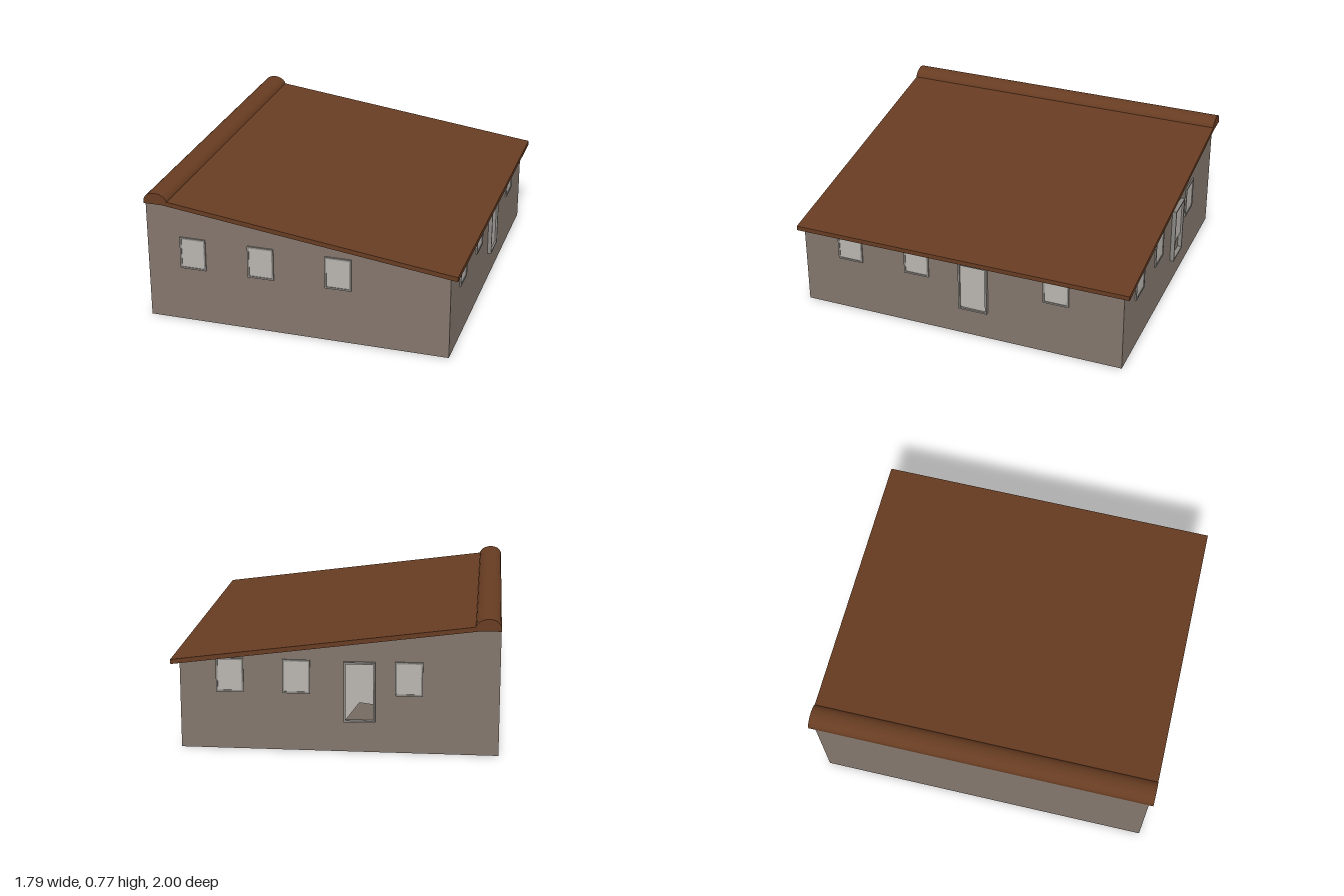
import * as THREE from 'three';

export function createModel() {
  const wallMat = new THREE.MeshStandardMaterial({ name: 'wall taupe', color: 0x83766c, side: THREE.DoubleSide });
  const roofMat = new THREE.MeshStandardMaterial({ name: 'roof brown', color: 0x673c22 });
  const frameMat = new THREE.MeshStandardMaterial({ name: 'frame grey', color: 0x8a8883 });
  const glassMat = new THREE.MeshStandardMaterial({ name: 'pale glass', color: 0xb9b5b0, side: THREE.DoubleSide });

  const house = new THREE.Group();
  house.name = 'house';
  const L = -0.885, R = 0.8425, F = 0.965, B = -0.95;
  const shape = (pts) => new THREE.Shape(pts.map(([x, y]) => new THREE.Vector2(x, y)));
  const add = (parent, name, geo, mat, x = 0, y = 0, z = 0) => {
    const m = new THREE.Mesh(geo, mat);
    m.name = name;
    m.position.set(x, y, z);
    parent.add(m);
    return m;
  };

  // Gable walls, following the roof slope
  const gable = new THREE.ShapeGeometry(shape([[L, 0], [R, 0], [R, 0.484], [-0.78, 0.7], [L, 0.7]]));
  add(house, 'frontWall', gable, wallMat, 0, 0, F);
  add(house, 'backWall', gable.clone().rotateY(Math.PI).scale(1, 1, 1), wallMat, 0, 0, B).rotation.y = Math.PI;
  // Side walls
  const depth = F - B, midZ = (F + B) / 2;
  add(house, 'leftEaveWall', new THREE.PlaneGeometry(depth, 0.484), wallMat, R, 0.242, midZ).rotation.y = Math.PI / 2;
  add(house, 'tallWall', new THREE.PlaneGeometry(depth, 0.7), wallMat, L, 0.35, midZ).rotation.y = -Math.PI / 2;

  // Single-pitch roof slab
  const extrude = (s, d) => new THREE.ExtrudeGeometry(s, { depth: d, bevelEnabled: false, curveSegments: 14 });
  const slab = shape([[L, 0.7], [-0.78, 0.7], [0.885, 0.478], [0.885, 0.504], [-0.76, 0.723], [L, 0.723]]);
  add(house, 'roofSlab', extrude(slab, 1.98), roofMat, 0, 0, -0.99);

  // Rounded ridge cap along the high edge
  const cap = new THREE.Shape();
  cap.moveTo(L, 0.701);
  cap.lineTo(-0.75, 0.701);
  cap.lineTo(-0.75, 0.725);
  cap.bezierCurveTo(-0.768, 0.776, -0.868, 0.782, L, 0.725);
  cap.closePath();
  add(house, 'ridgeCap', extrude(cap, 1.98), roofMat, 0, 0, -0.99);

  // Framed opening, built facing +z with its lower edge at y = 0
  function opening(name, w, h, out, notched) {
    const g = new THREE.Group();
    g.name = name;
    const t = 0.01, a = w / 2, b = a - t;
    const rim = shape([[-a, 0], [a, 0], [a, h], [-a, h]]);
    rim.holes.push(new THREE.Path([[-b, t], [-b, h - t], [b, h - t], [b, t]].map(([x, y]) => new THREE.Vector2(x, y))));
    add(g, 'frame', extrude(rim, out + 0.01), frameMat, 0, 0, -0.01);
    const pane = notched
      ? shape([[-b, t], [0, 0.11], [b, 0.1], [b, h - t], [-b, h - t]])
      : shape([[-b, t], [b, t], [b, h - t], [-b, h - t]]);
    add(g, 'pane', new THREE.ShapeGeometry(pane), glassMat, 0, 0, out * 0.5);
    house.add(g);
    return g;
  }

  // Front windows
  for (const x of [-0.617, -0.222, 0.22]) opening('frontWindow', 0.15, 0.188, 0.008).position.set(x, 0.322, F);

  // Back windows and door
  for (const x of [0.57, 0.208, -0.4]) {
    const w = opening('backWindow', 0.15, 0.188, 0.008);
    w.position.set(x, 0.322, B);
    w.rotation.y = Math.PI;
  }
  const backDoor = opening('backDoor', 0.17, 0.335, 0.024, true);
  backDoor.position.set(-0.135, 0.172, B);
  backDoor.rotation.y = Math.PI;

  // Windows and door below the low eave
  for (const z of [0.677, 0.267, -0.563]) {
    const w = opening('eaveWindow', 0.15, 0.138, 0.008);
    w.position.set(R, 0.325, z);
    w.rotation.y = Math.PI / 2;
  }
  const eaveDoor = opening('eaveDoor', 0.17, 0.297, 0.022);
  eaveDoor.position.set(R, 0.172, -0.078);
  eaveDoor.rotation.y = Math.PI / 2;

  // The house stands very slightly turned
  house.rotation.y = -0.0095;
  const model = new THREE.Group();
  model.name = 'model';
  model.add(house);
  return model;
}
